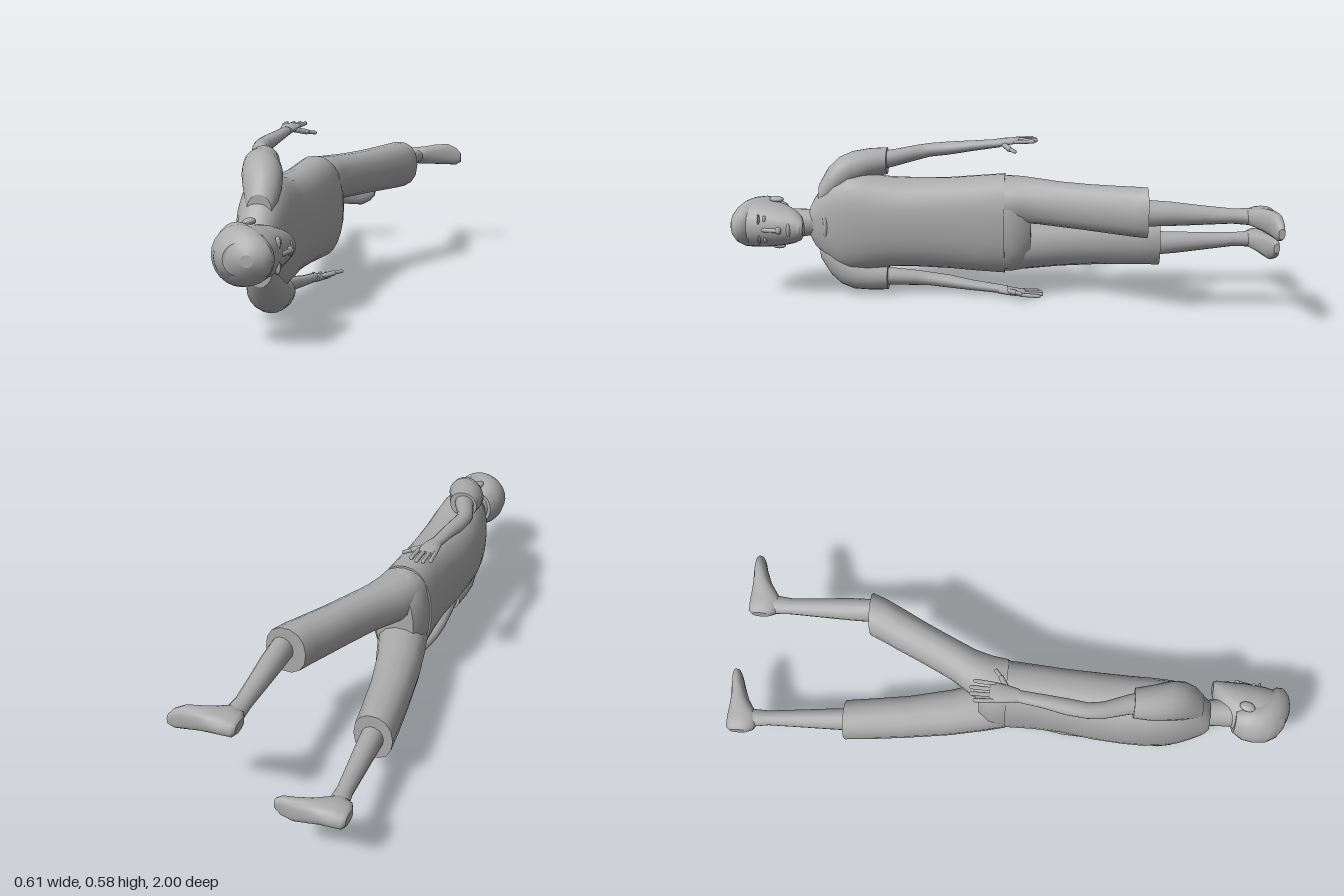
import * as THREE from 'three';

const grey = new THREE.MeshStandardMaterial({ color: 0xacacac });
grey.name = 'plain grey';

// Closed skin over rings [along, u, v, radiusU, radiusV]; axis 'z' uses u=x, v=y; axis 'x' uses u=y, v=z.
function loft(name, rows, { axis = 'z', sides = 20, power = 2, floor = -Infinity } = {}) {
  if (rows[0][0] > rows[rows.length - 1][0]) rows = [...rows].reverse();
  const pos = [], idx = [];
  const put = (w, u, v) => axis === 'z' ? pos.push(u, v, w) : pos.push(w, u, Math.max(v, floor));
  const bend = c => Math.sign(c) * Math.pow(Math.abs(c), 2 / power);
  const ring = ([w, u, v, ru, rv]) => {
    for (let j = 0; j < sides; j++) {
      const t = j / sides * Math.PI * 2;
      put(w, u + ru * bend(Math.cos(t)), v + rv * bend(Math.sin(t)));
    }
  };
  rows.forEach(ring);
  for (let i = 0; i < rows.length - 1; i++) for (let j = 0; j < sides; j++) {
    const k = (j + 1) % sides, a = i * sides, b = a + sides;
    idx.push(a + j, a + k, b + j, a + k, b + k, b + j);
  }
  // flat end caps with their own vertices
  [rows[0], rows[rows.length - 1]].forEach((r, end) => {
    const s = pos.length / 3;
    ring(r);
    put(r[0], r[1], r[2]);
    for (let j = 0; j < sides; j++) {
      const k = (j + 1) % sides;
      end ? idx.push(s + sides, s + j, s + k) : idx.push(s + sides, s + k, s + j);
    }
  });
  const g = new THREE.BufferGeometry();
  g.setAttribute('position', new THREE.Float32BufferAttribute(pos, 3));
  g.setIndex(idx);
  g.computeVertexNormals();
  return mesh(name, g);
}

function mesh(name, geometry) {
  const m = new THREE.Mesh(geometry, grey);
  m.name = name;
  return m;
}

// Rounded rod between two points
function rod(name, a, b, r) {
  const p = new THREE.Vector3(...a), q = new THREE.Vector3(...b), d = q.clone().sub(p);
  const m = mesh(name, new THREE.CapsuleGeometry(r, d.length(), 3, 8));
  m.position.copy(p).add(q).multiplyScalar(0.5);
  m.quaternion.setFromUnitVectors(new THREE.Vector3(0, 1, 0), d.normalize());
  return m;
}

function blob(name, [x, y, z], [sx, sy, sz]) {
  const m = mesh(name, new THREE.SphereGeometry(1, 12, 8));
  m.position.set(x, y, z);
  m.scale.set(sx, sy, sz);
  return m;
}

// Palm, four fingers and thumb; inward is the y direction towards the body
function hand(name, x, y, z, inward) {
  const g = new THREE.Group();
  g.name = name;
  g.add(loft('palm', [
    [z + 0.04, x, y + inward * 0.012, 0.023, 0.015], [z, x, y + inward * 0.006, 0.031, 0.014],
    [z - 0.045, x, y, 0.037, 0.01], [z - 0.06, x, y, 0.034, 0.006]], { sides: 12 }));
  [0.055, 0.068, 0.07, 0.06].forEach((len, i) => {
    const fx = x - 0.029 + i * 0.0195;
    g.add(rod('finger', [fx, y, z - 0.045], [fx + (i - 1.5) * 0.003, y - inward * 0.003, z - 0.05 - len], 0.0075));
  });
  g.add(rod('thumb', [x + 0.015, y + inward * 0.01, z], [x + 0.06, y + inward * 0.02, z - 0.025], 0.01));
  g.add(rod('thumbTip', [x + 0.06, y + inward * 0.02, z - 0.025], [x + 0.085, y + inward * 0.024, z - 0.045], 0.007));
  return g;
}

// Foot pointing to +x with a flat sole; flip mirrors its width
function foot(name, x, y, sole, flip) {
  const rows = [
    [0.000, 0, 0.045, 0.018, 0.03], [0.012, 0, 0.05, 0.03, 0.05], [0.05, 0, 0.058, 0.034, 0.06],
    [0.085, 0.001, 0.047, 0.037, 0.046], [0.12, 0.003, 0.035, 0.041, 0.033], [0.17, 0.003, 0.022, 0.043, 0.024],
    [0.205, -0.006, 0.015, 0.035, 0.019], [0.225, -0.012, 0.011, 0.018, 0.011]];
  return loft(name, rows.map(([a, u, v, ru, rv]) => [x + a, y + flip * u, sole + v, ru, rv]),
    { axis: 'x', sides: 16, floor: sole, power: 2.3 });
}

export function createModel() {
  const model = new THREE.Group();
  model.name = 'lyingPerson';

  // Shirt
  model.add(loft('shirt', [
    [0, -0.113, 0.28, 0.103, 0.185], [0.1, -0.115, 0.279, 0.1, 0.178], [0.2, -0.12, 0.278, 0.1, 0.17],
    [0.32, -0.13, 0.277, 0.108, 0.166], [0.42, -0.135, 0.277, 0.11, 0.168], [0.5, -0.136, 0.277, 0.108, 0.18],
    [0.57, -0.135, 0.277, 0.1, 0.19], [0.62, -0.135, 0.277, 0.088, 0.175], [0.665, -0.135, 0.276, 0.073, 0.135],
    [0.7, -0.135, 0.275, 0.06, 0.09], [0.715, -0.135, 0.275, 0.05, 0.06]], { sides: 28, power: 2.3 }));
  const collar = mesh('collar', new THREE.TorusGeometry(0.066, 0.009, 8, 24));
  collar.position.set(-0.12, 0.275, 0.68);
  collar.rotation.y = 0.45;
  collar.scale.y = 1.12;
  model.add(collar);

  // Sleeves
  model.add(loft('leftSleeve', [
    [0.435, -0.18, 0.496, 0.052, 0.049], [0.5, -0.17, 0.487, 0.062, 0.056], [0.56, -0.152, 0.468, 0.068, 0.068],
    [0.605, -0.14, 0.445, 0.065, 0.073], [0.645, -0.132, 0.41, 0.055, 0.07], [0.68, -0.13, 0.37, 0.04, 0.05]]));
  model.add(loft('rightSleeve', [
    [0.435, -0.13, 0.066, 0.052, 0.049], [0.5, -0.13, 0.071, 0.062, 0.055], [0.56, -0.13, 0.084, 0.068, 0.064],
    [0.605, -0.13, 0.108, 0.065, 0.071], [0.645, -0.13, 0.143, 0.055, 0.07], [0.68, -0.13, 0.18, 0.04, 0.05]]));

  // Arms and hands
  model.add(loft('leftArm', [
    [0.5, -0.17, 0.495, 0.038, 0.034], [0.42, -0.188, 0.503, 0.036, 0.032], [0.33, -0.222, 0.518, 0.03, 0.028],
    [0.28, -0.23, 0.527, 0.028, 0.025], [0.21, -0.225, 0.535, 0.029, 0.024], [0.12, -0.215, 0.547, 0.024, 0.019],
    [0.02, -0.207, 0.559, 0.021, 0.015]], { sides: 14 }));
  model.add(hand('leftHand', -0.207, 0.569, 0.01, -1));
  model.add(loft('rightArm', [
    [0.5, -0.13, 0.068, 0.038, 0.034], [0.42, -0.137, 0.064, 0.036, 0.032], [0.33, -0.147, 0.056, 0.03, 0.028],
    [0.28, -0.15, 0.051, 0.028, 0.025], [0.21, -0.144, 0.044, 0.029, 0.024], [0.12, -0.13, 0.034, 0.024, 0.019],
    [-0.01, -0.115, 0.022, 0.021, 0.015]], { sides: 14 }));
  model.add(hand('rightHand', -0.115, 0.012, -0.015, 1));

  // Hips and trouser legs
  model.add(loft('hips', [
    [0.03, -0.113, 0.28, 0.095, 0.175], [-0.02, -0.113, 0.28, 0.099, 0.179],
    [-0.06, -0.113, 0.28, 0.093, 0.172], [-0.095, -0.113, 0.28, 0.07, 0.14]], { sides: 24, power: 2.3 }));
  model.add(loft('leftTrouserLeg', [
    [0, -0.11, 0.37, 0.09, 0.086], [-0.06, -0.1, 0.373, 0.088, 0.085], [-0.12, -0.075, 0.374, 0.08, 0.082],
    [-0.2, -0.03, 0.375, 0.071, 0.081], [-0.3, 0.018, 0.377, 0.07, 0.082], [-0.4, 0.066, 0.38, 0.073, 0.085],
    [-0.45, 0.09, 0.382, 0.073, 0.087], [-0.5, 0.11, 0.383, 0.071, 0.088]], { sides: 14, power: 2.2 }));
  model.add(loft('rightTrouserLeg', [
    [0, -0.115, 0.19, 0.09, 0.086], [-0.08, -0.135, 0.188, 0.09, 0.083], [-0.2, -0.168, 0.186, 0.082, 0.08],
    [-0.35, -0.197, 0.184, 0.074, 0.08], [-0.48, -0.215, 0.182, 0.071, 0.083], [-0.575, -0.226, 0.18, 0.068, 0.085]],
    { sides: 14, power: 2.2 }));

  // Calves and feet
  const calf = (name, rows) => model.add(loft(name, rows, { sides: 14 }));
  calf('leftCalf', [
    [-0.48, 0.123, 0.386, 0.04, 0.047], [-0.58, 0.122, 0.384, 0.039, 0.042], [-0.68, 0.12, 0.38, 0.034, 0.034],
    [-0.79, 0.118, 0.377, 0.029, 0.026], [-0.85, 0.12, 0.376, 0.034, 0.029], [-0.9, 0.122, 0.375, 0.035, 0.03]]);
  calf('rightCalf', [
    [-0.55, -0.222, 0.177, 0.04, 0.045], [-0.64, -0.228, 0.179, 0.037, 0.04], [-0.74, -0.236, 0.183, 0.032, 0.033],
    [-0.85, -0.245, 0.188, 0.027, 0.026], [-0.91, -0.25, 0.189, 0.033, 0.029], [-0.96, -0.252, 0.19, 0.035, 0.03]]);
  model.add(foot('leftFoot', 0.077, 0.377, -0.94, 1));
  model.add(foot('rightFoot', -0.304, 0.19, -1, -1));

  // Neck and head
  model.add(loft('neck', [
    [0.66, -0.135, 0.275, 0.056, 0.058], [0.71, -0.12, 0.275, 0.046, 0.049], [0.8, -0.11, 0.275, 0.05, 0.054]]));
  model.add(loft('head', [
    [0.727, -0.026, 0.275, 0.022, 0.026], [0.738, -0.042, 0.275, 0.042, 0.045], [0.765, -0.063, 0.275, 0.062, 0.061],
    [0.8, -0.083, 0.275, 0.081, 0.073], [0.84, -0.1, 0.275, 0.098, 0.082], [0.88, -0.105, 0.275, 0.099, 0.087],
    [0.92, -0.108, 0.275, 0.095, 0.086], [0.955, -0.106, 0.275, 0.083, 0.074], [0.98, -0.1, 0.275, 0.055, 0.05]],
    { sides: 24 }));

  // Hair cap with a short raised fringe
  model.add(loft('hair', [
    [0.805, -0.135, 0.275, 0.045, 0.065], [0.84, -0.14, 0.275, 0.064, 0.085], [0.88, -0.138, 0.275, 0.073, 0.093],
    [0.92, -0.118, 0.275, 0.09, 0.092], [0.95, -0.1, 0.275, 0.092, 0.083], [0.975, -0.083, 0.275, 0.073, 0.064],
    [0.992, -0.078, 0.275, 0.047, 0.04], [1, -0.078, 0.275, 0.02, 0.018]], { sides: 24 }));
  model.add(blob('fringe', [-0.04, 0.275, 0.966], [0.031, 0.052, 0.02]));

  // Face
  model.add(rod('noseBridge', [-0.008, 0.275, 0.868], [0.001, 0.275, 0.82], 0.008));
  model.add(blob('noseTip', [0.001, 0.275, 0.813], [0.011, 0.014, 0.011]));
  model.add(blob('lips', [-0.006, 0.275, 0.778], [0.009, 0.025, 0.008]));
  model.add(blob('chin', [-0.014, 0.275, 0.742], [0.016, 0.026, 0.014]));
  for (const s of [-1, 1]) {
    model.add(blob('eye', [-0.019, 0.275 + s * 0.036, 0.866], [0.009, 0.015, 0.007]));
    model.add(blob('brow', [-0.016, 0.275 + s * 0.036, 0.887], [0.009, 0.021, 0.005]));
    const ear = blob('ear', [-0.115, 0.275 + s * 0.088, 0.838], [0.018, 0.011, 0.028]);
    ear.rotation.y = -0.25;
    model.add(ear);
  }
  return model;
}
